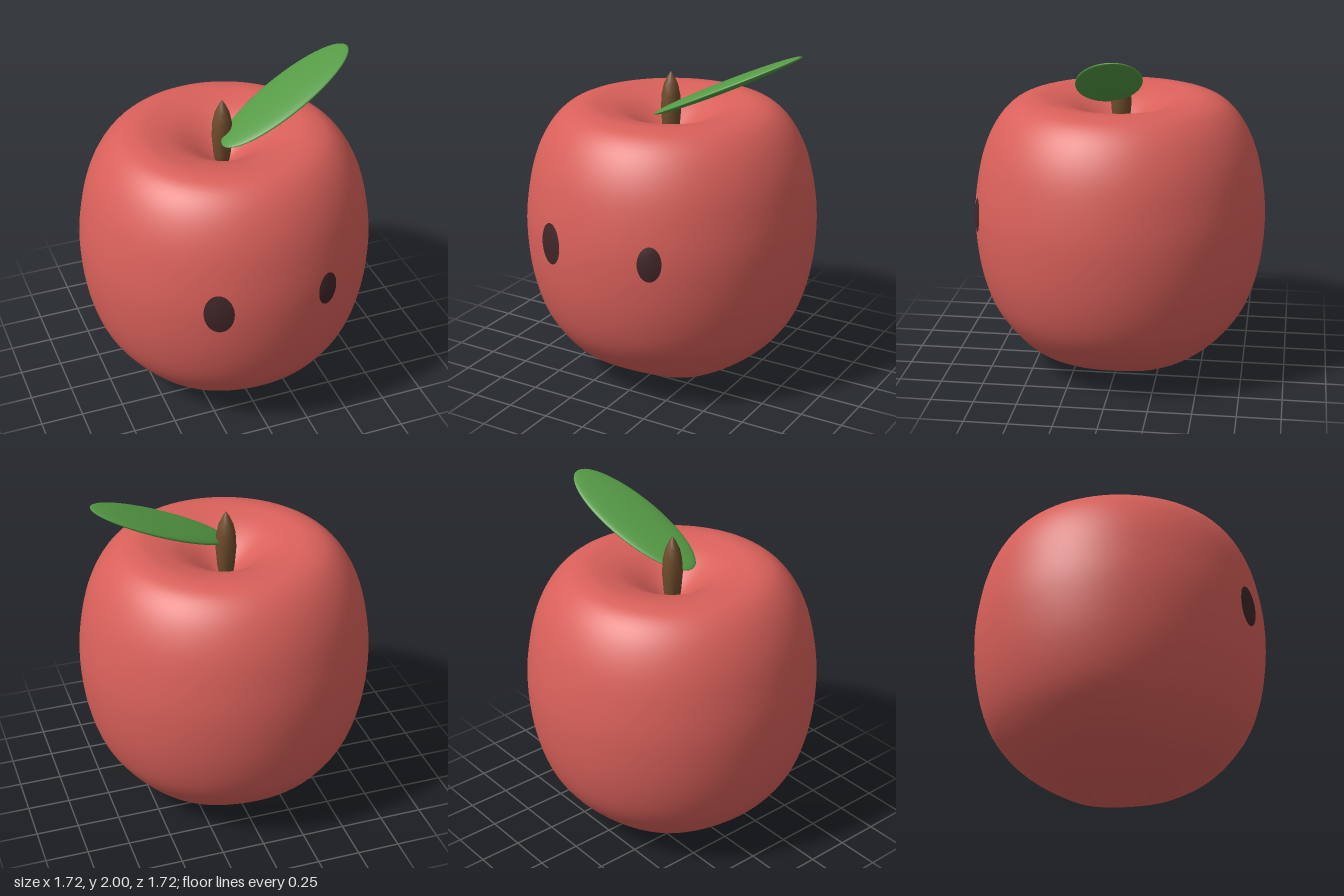
import * as THREE from 'three';
import { mergeVertices } from 'three/addons/utils/BufferGeometryUtils.js';

const material = (name, color, side = THREE.FrontSide) => {
  const m = new THREE.MeshStandardMaterial({ color, side });
  m.name = name;
  return m;
};

const curveThrough = (points) =>
  new THREE.SplineCurve(points.map(([r, y]) => new THREE.Vector2(r, y)));

// Fruit outline: base dimple, belly, rounded shoulder, stem hollow
const outline = curveThrough([
  [0, 0.06], [0.07, 0.035], [0.16, 0.002], [0.26, 0.015], [0.39, 0.06],
  [0.57, 0.165], [0.7, 0.31], [0.785, 0.47], [0.84, 0.69], [0.858, 0.94],
  [0.838, 1.15], [0.79, 1.35], [0.71, 1.51], [0.61, 1.61], [0.5, 1.643],
  [0.4, 1.632], [0.3, 1.603], [0.21, 1.555], [0.12, 1.49], [0.05, 1.44], [0, 1.42],
]).getPoints(90).map((p) => new THREE.Vector2(Math.max(p.x, 0), Math.max(p.y, 0)));

// Outer radius of the fruit at a height on its belly
function radiusAt(y) {
  const i = outline.findIndex((p, k) => k > 0 && p.x > 0.6 && p.y >= y);
  const a = outline[i - 1], b = outline[i];
  return a.x + (b.x - a.x) * (y - a.y) / (b.y - a.y);
}

function fruitGeometry() {
  const lathe = new THREE.LatheGeometry(outline, 80);
  lathe.deleteAttribute('uv');
  lathe.deleteAttribute('normal');
  const geo = mergeVertices(lathe, 1e-4);
  const pos = geo.attributes.position;
  // Four soft lobes on the underside
  for (let i = 0; i < pos.count; i++) {
    const x = pos.getX(i), y = pos.getY(i), z = pos.getZ(i);
    const r = Math.hypot(x, z);
    if (y > 0.5 || r < 0.16 || r > 0.76) continue;
    const valley = (1 + Math.cos(4 * Math.atan2(x, z))) / 2;
    pos.setY(i, y + 0.025 * valley * Math.sin(Math.PI * (r - 0.16) / 0.6) ** 2);
  }
  geo.computeVertexNormals();
  return geo;
}

// Thin oval that follows the belly, slightly domed
function eyeGeometry(cx, cy, rx, ry) {
  const geo = new THREE.RingGeometry(0, 1, 40, 5);
  const pos = geo.attributes.position;
  for (let i = 0; i < pos.count; i++) {
    const u = pos.getX(i), v = pos.getY(i);
    const x = cx + u * rx, y = cy + v * ry;
    const lift = 0.003 + 0.007 * (1 - u * u - v * v);
    const r = radiusAt(y) + lift;
    pos.setXYZ(i, x, y, Math.sqrt(r * r - x * x));
  }
  geo.computeVertexNormals();
  return geo;
}

export function createModel() {
  const group = new THREE.Group();
  const red = material('apple red', 0xd9605a);
  const green = material('leaf green', 0x559a45);
  const brown = material('stem brown', 0x6f4c2c);
  const dark = material('eye dark brown', 0x402628, THREE.DoubleSide);

  const add = (name, geometry, mat) => {
    const mesh = new THREE.Mesh(geometry, mat);
    mesh.name = name;
    group.add(mesh);
    return mesh;
  };

  add('fruit', fruitGeometry(), red);

  // Stem with a pointed tip
  const stemProfile = [[0, 1.38], [0.036, 1.4], [0.05, 1.48], [0.06, 1.6],
    [0.055, 1.69], [0.042, 1.75], [0.018, 1.8], [0, 1.828]];
  const stem = add('stem', new THREE.LatheGeometry(
    stemProfile.map(([r, y]) => new THREE.Vector2(r, y)), 10), brown);
  stem.position.set(-0.01, 0, -0.005);

  // Leaf: a flattened ellipsoid rising to the left
  const leaf = add('leaf', new THREE.SphereGeometry(1, 48, 32), green);
  leaf.scale.set(0.468, 0.03, 0.184);
  leaf.rotation.set(0, 0.21, 0.45, 'ZYX');
  leaf.position.set(0.365, 1.797, 0.018);

  add('rightEye', eyeGeometry(-0.325, 0.972, 0.079, 0.121), dark);
  add('leftEye', eyeGeometry(0.32, 0.983, 0.063, 0.101), dark);

  return group;
}
